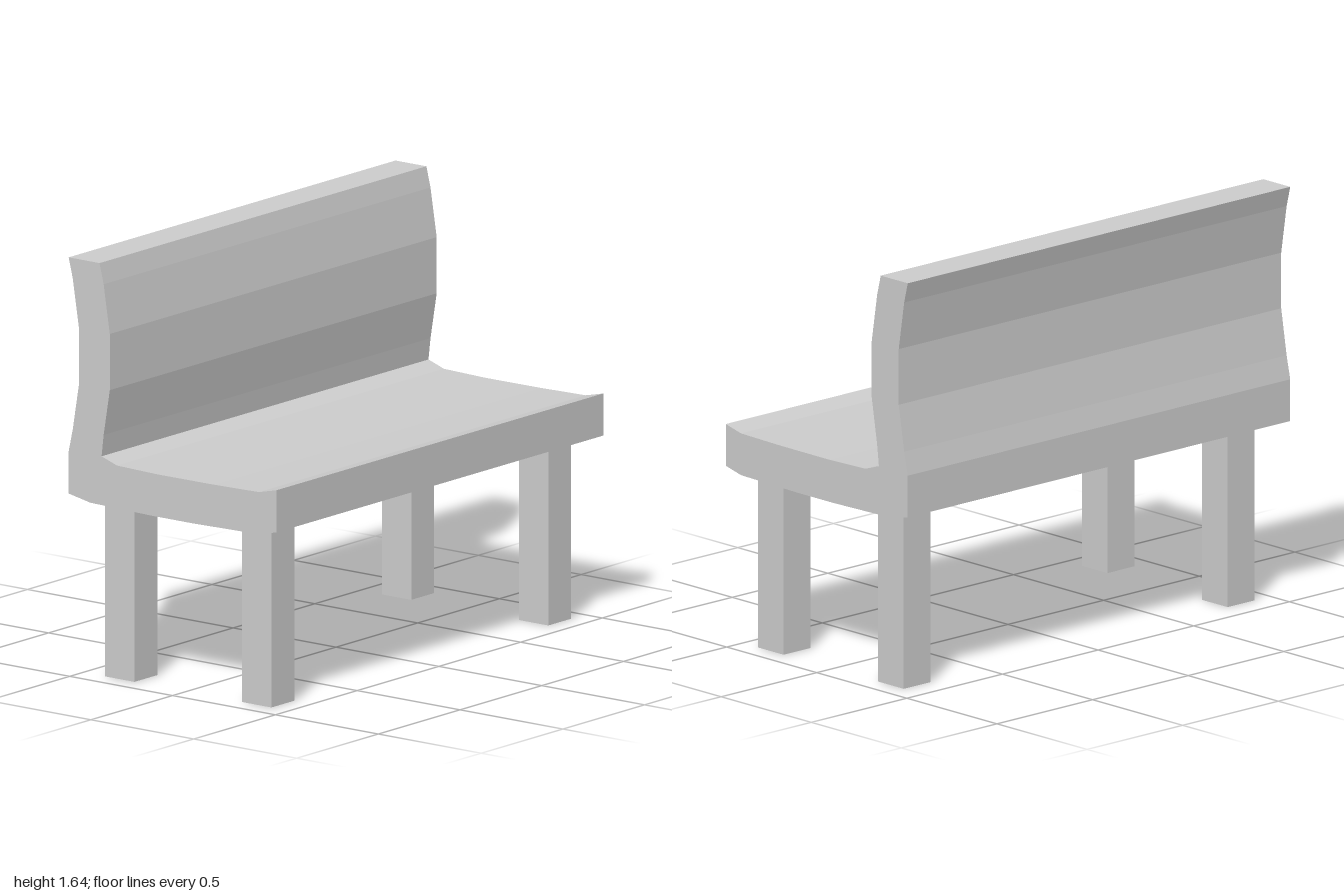
import * as THREE from 'three';

const material = new THREE.MeshStandardMaterial({ color: 0xcccccc, flatShading: true });

// Side profile of the bench as [z, y] pairs
const seatTop = [[0.505, 0.88], [0.42, 0.86], [0.2, 0.856], [-0.07, 0.855], [-0.27, 0.86], [-0.345, 0.885]];
const backFront = [[-0.335, 0.97], [-0.305, 1.15], [-0.305, 1.37], [-0.335, 1.56], [-0.355, 1.64]];
const backRear = [[-0.505, 1.64], [-0.485, 1.56], [-0.455, 1.37], [-0.455, 1.15], [-0.485, 0.97], [-0.505, 0.88]];
const seatUnderside = [[-0.505, 0.715], [-0.4, 0.695], [-0.1, 0.689], [0.1, 0.689], [0.42, 0.695], [0.505, 0.715]];

export function createModel() {
  const bench = new THREE.Group();
  bench.name = 'bench';

  // Seat and curved backrest, one continuous slab swept across the width
  const outline = [...seatTop, ...backFront, ...backRear, ...seatUnderside].map(([z, y]) => new THREE.Vector2(z, y));
  const slab = new THREE.ExtrudeGeometry(new THREE.Shape(outline), { depth: 2, bevelEnabled: false });
  slab.translate(0, 0, -1).rotateY(-Math.PI / 2);
  const seat = new THREE.Mesh(slab, material);
  seat.name = 'seatAndBackrest';
  bench.add(seat);

  // Four square legs
  const legHeight = 0.7;
  const legGeometry = new THREE.BoxGeometry(0.14, legHeight, 0.143);
  for (const [sideName, x] of [['Left', 0.847], ['Right', -0.847]]) {
    for (const [endName, z] of [['front', 0.343], ['back', -0.323]]) {
      const leg = new THREE.Mesh(legGeometry, material);
      leg.name = `${endName}${sideName}Leg`;
      leg.position.set(x, legHeight / 2, z);
      bench.add(leg);
    }
  }
  return bench;
}
